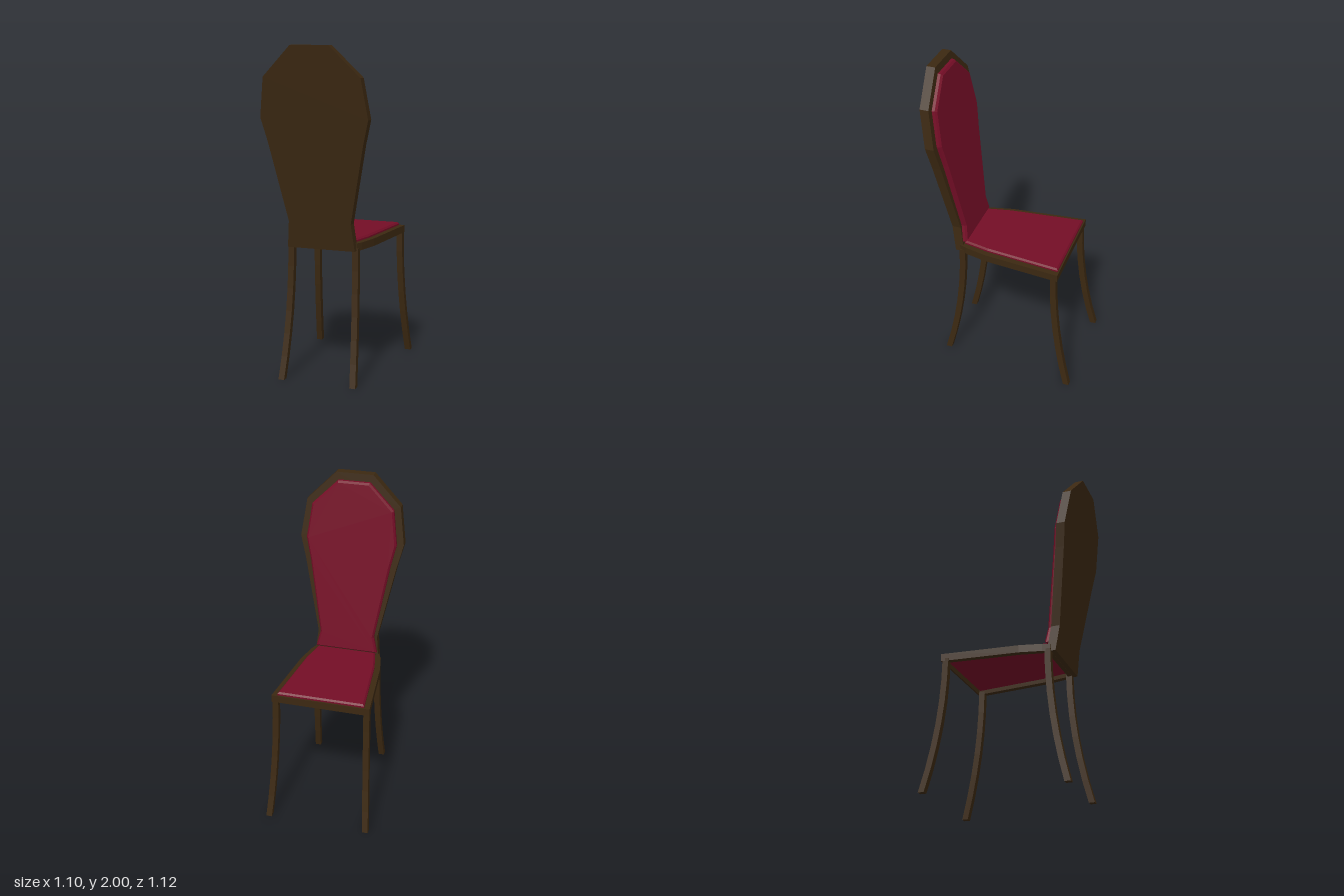
import * as THREE from 'three';

// Closed symmetric outline from [halfWidth, v] pairs
function outline(half, Kind = THREE.Shape) {
  const right = half.map(([w, v]) => new THREE.Vector2(w, v));
  const left = half.map(([w, v]) => new THREE.Vector2(-w, v)).reverse();
  return new Kind([...right, ...left]);
}

// Straight extrusion, optionally with a one-step chamfer that stays inside the outline
function slab(shape, thickness, chamfer = 0) {
  const geo = new THREE.ExtrudeGeometry(shape, {
    depth: thickness - 2 * chamfer, bevelEnabled: chamfer > 0,
    bevelSize: chamfer, bevelOffset: -chamfer, bevelThickness: chamfer, bevelSegments: 1,
  });
  return geo.translate(0, 0, chamfer);
}

// Lean an upright slab backwards: z depends on height
function lean(geo, z0) {
  const p = geo.attributes.position;
  for (let i = 0; i < p.count; i++) p.setZ(i, p.getZ(i) + z0 - 0.145 * (p.getY(i) - 0.81));
  geo.computeVertexNormals();
  return geo;
}

// Square leg whose cross-section drifts outwards towards the floor
function legGeometry(x, z, dx, dz) {
  const height = 0.82;
  const geo = new THREE.BoxGeometry(0.037, height, 0.037, 1, 6, 1).translate(0, height / 2, 0);
  const p = geo.attributes.position;
  for (let i = 0; i < p.count; i++) {
    const t = Math.pow(1 - p.getY(i) / height, 2);
    p.setX(i, p.getX(i) + x + dx * t);
    p.setZ(i, p.getZ(i) + z + dz * t);
  }
  geo.computeVertexNormals();
  return geo;
}

export function createModel() {
  const wood = new THREE.MeshStandardMaterial({ color: 0x3b2811, flatShading: true });
  wood.name = 'dark wood';
  const fabric = new THREE.MeshStandardMaterial({ color: 0x740d26, flatShading: true });
  fabric.name = 'red upholstery';

  const chair = new THREE.Group();
  chair.name = 'chair';
  const add = (name, geo, mat) => {
    const mesh = new THREE.Mesh(geo, mat);
    mesh.name = name;
    chair.add(mesh);
    return mesh;
  };

  // Seat: a ring of rails with the cushion set into it
  const cushionOutline = [[0.191, -0.285], [0.224, -0.125], [0.27, 0.341]];
  const railShape = outline([[0.212, -0.31], [0.23, -0.262], [0.26, -0.128], [0.305, 0.35]]);
  railShape.holes.push(outline(cushionOutline, THREE.Path));
  const rails = add('seatFrame', slab(railShape, 0.046).rotateX(Math.PI / 2), wood);
  rails.position.y = 0.85;
  const cushion = add('seatCushion', slab(outline(cushionOutline), 0.045, 0.01).rotateX(Math.PI / 2), fabric);
  cushion.position.y = 0.87;

  // Backrest: leaning wooden panel with a padded front
  const panel = outline([
    [0.212, 0.806], [0.195, 0.97], [0.293, 1.44], [0.33, 1.585], [0.296, 1.82], [0.116, 2],
  ]);
  add('backFrame', lean(slab(panel, 0.054), -0.34), wood);
  const padding = outline([
    [0.2, 0.872], [0.176, 0.975], [0.255, 1.44], [0.287, 1.585], [0.258, 1.8], [0.1, 1.955],
  ]);
  add('backCushion', lean(slab(padding, 0.05, 0.011), -0.307), fabric);

  // Legs sweep outwards, front and back
  for (const s of [1, -1]) {
    const side = s > 0 ? 'left' : 'right';
    add(side + 'FrontLeg', legGeometry(s * 0.284, 0.322, s * 0.03, 0.113), wood);
    add(side + 'BackLeg', legGeometry(s * 0.204, -0.292, s * 0.024, -0.113), wood);
  }

  // The chair stands turned away on its spot
  chair.rotation.y = Math.atan2(0.66, -0.752);
  chair.position.set(-0.004, 0, -0.003);

  const model = new THREE.Group();
  model.name = 'diningChair';
  model.add(chair);
  return model;
}
